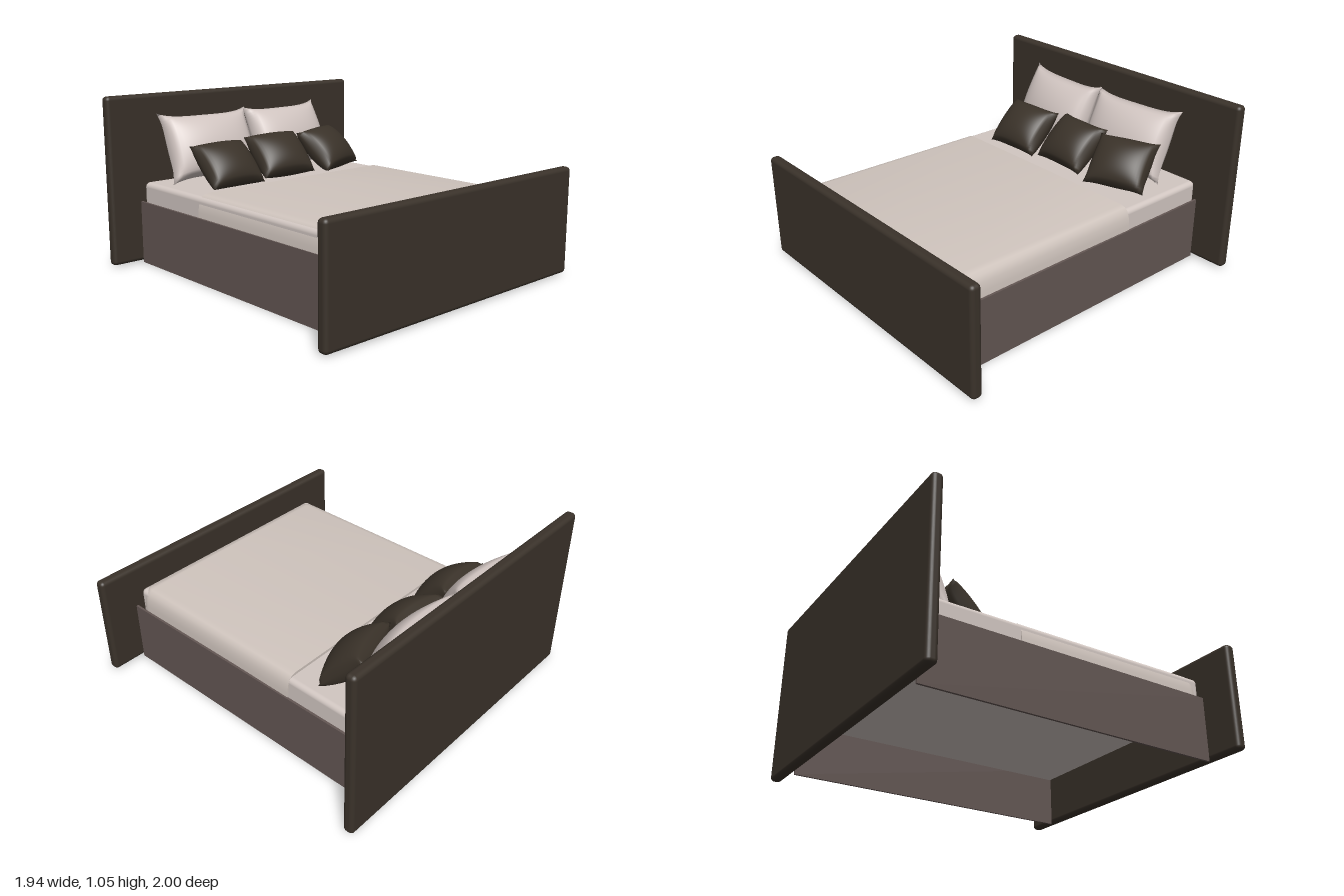
import * as THREE from 'three';
import { mergeVertices, toCreasedNormals } from 'three/addons/utils/BufferGeometryUtils.js';
import { RoundedBoxGeometry } from 'three/addons/geometries/RoundedBoxGeometry.js';

const paint = (name, color, side = THREE.FrontSide) => {
  const m = new THREE.MeshStandardMaterial({ color, side });
  m.name = name;
  return m;
};

// Cushion: two bulging sides, edges drawn in between pointed corners
function cushionGeometry(w, h, thick, pullX, pullY) {
  const g = new THREE.BoxGeometry(2, 2, 2, 24, 24, 1);
  const p = g.attributes.position;
  for (let i = 0; i < p.count; i++) {
    const s = p.getX(i), t = p.getY(i), side = Math.sign(p.getZ(i));
    const bulge = Math.max(0, (1 - s * s) * (1 - t * t));
    p.setXYZ(i,
      (w / 2) * s * (1 - pullX * (1 - t ** 4)),
      (h / 2) * t * (1 - pullY * (1 - s ** 4)),
      side * (thick / 2) * Math.pow(bulge, 0.42));
  }
  g.deleteAttribute('uv');
  g.deleteAttribute('normal');
  const merged = mergeVertices(g, 1e-5);
  merged.computeVertexNormals();
  return merged;
}

// Blanket: U-shaped rings around the sides and foot, rising and moving inward
function blanketGeometry(hw, zBack, zFoot, corner) {
  const rings = [[0, 0.33], [0.002, 0.42], [0.009, 0.465], [0.022, 0.5], [0.043, 0.518], [0.075, 0.525], [null, 0.527]];
  const steps = 8, hem = 0.016, pos = [], index = [];
  let cols = 0;
  for (const [inset, y] of rings) {
    const d = inset ?? 0.075, r = corner - d, row = [];
    row.push([-hw + d + 0.006, y - hem, zBack], [-hw + d, y, zBack]);
    for (const sx of [-1, 1]) {
      for (let k = 0; k <= steps; k++) {
        const a = (Math.PI / 2) * (sx < 0 ? k : steps - k) / steps;
        row.push([sx * (hw - corner + r * Math.cos(a)), y, zFoot - corner + r * Math.sin(a)]);
      }
    }
    row.push([hw - d, y, zBack], [hw - d - 0.006, y - hem, zBack]);
    cols = row.length;
    for (const [x, py, z] of row) pos.push(inset === null ? 0 : x, py, z);
  }
  for (let j = 0; j < rings.length - 1; j++) {
    for (let i = 0; i < cols - 1; i++) {
      const a = j * cols + i, b = a + 1, c = b + cols, d = a + cols;
      index.push(a, b, c, a, c, d);
    }
  }
  const g = new THREE.BufferGeometry();
  g.setAttribute('position', new THREE.Float32BufferAttribute(pos, 3));
  g.setIndex(index);
  return toCreasedNormals(g, 0.7);
}

export function createModel() {
  const bed = new THREE.Group();
  bed.name = 'bed';
  const wood = paint('darkWood', 0x3a322a);
  const railPaint = paint('brownRail', 0x635653);
  const sheet = paint('paleSheet', 0xd2c7c2);
  const cover = paint('paleBlanket', 0xcfc4bd, THREE.DoubleSide);
  const pillowCloth = paint('palePillow', 0xd0c4c0);
  const cushionCloth = paint('darkCushion', 0x3a3229);

  const add = (name, geometry, material, x, y, z) => {
    const mesh = new THREE.Mesh(geometry, material);
    mesh.name = name;
    mesh.position.set(x, y, z);
    bed.add(mesh);
    return mesh;
  };

  // End boards
  const board = (name, top, z) =>
    add(name, new RoundedBoxGeometry(1.94, top - 0.01, 0.065, 3, 0.024), wood, 0, (top + 0.01) / 2, z);
  board('headboard', 1.05, -0.9675);
  board('footboard', 0.655, 0.9675);

  // Side rails, set very slightly askew
  for (const [name, x] of [['leftRail', 0.742], ['rightRail', -0.752]]) {
    add(name, new THREE.BoxGeometry(0.014, 0.39, 1.87), railPaint, x, 0.195, 0).rotation.y = 0.009;
  }

  // Mattress and blanket
  add('mattress', new RoundedBoxGeometry(1.46, 0.212, 1.855, 4, 0.03), sheet, -0.009, 0.402, -0.0105);
  add('blanket', blanketGeometry(0.743, -0.335, 0.925, 0.085), cover, -0.006, 0, 0);

  // Pillows: x, y, z, yaw, roll
  const place = (name, geometry, material, lean, [x, y, z, yaw, roll]) =>
    add(name, geometry, material, x, y, z).rotation.set(-lean, yaw, roll, 'YXZ');

  const pillow = cushionGeometry(0.64, 0.46, 0.24, 0.07, 0.14);
  [['rightPillow', [-0.34, 0.72, -0.79, -0.07, 0]],
   ['leftPillow', [0.29, 0.72, -0.79, 0.06, 0]],
  ].forEach(([name, spot]) => place(name, pillow, pillowCloth, 0.43, spot));

  const cushion = cushionGeometry(0.39, 0.335, 0.2, 0.05, 0.06);
  [['rightCushion', [-0.387, 0.63, -0.54, 0.03, 0]],
   ['middleCushion', [0.035, 0.643, -0.56, -0.08, 0.02]],
   ['leftCushion', [0.45, 0.643, -0.56, 0.28, 0.03]],
  ].forEach(([name, spot]) => place(name, cushion, cushionCloth, 0.8, spot));

  return bed;
}
